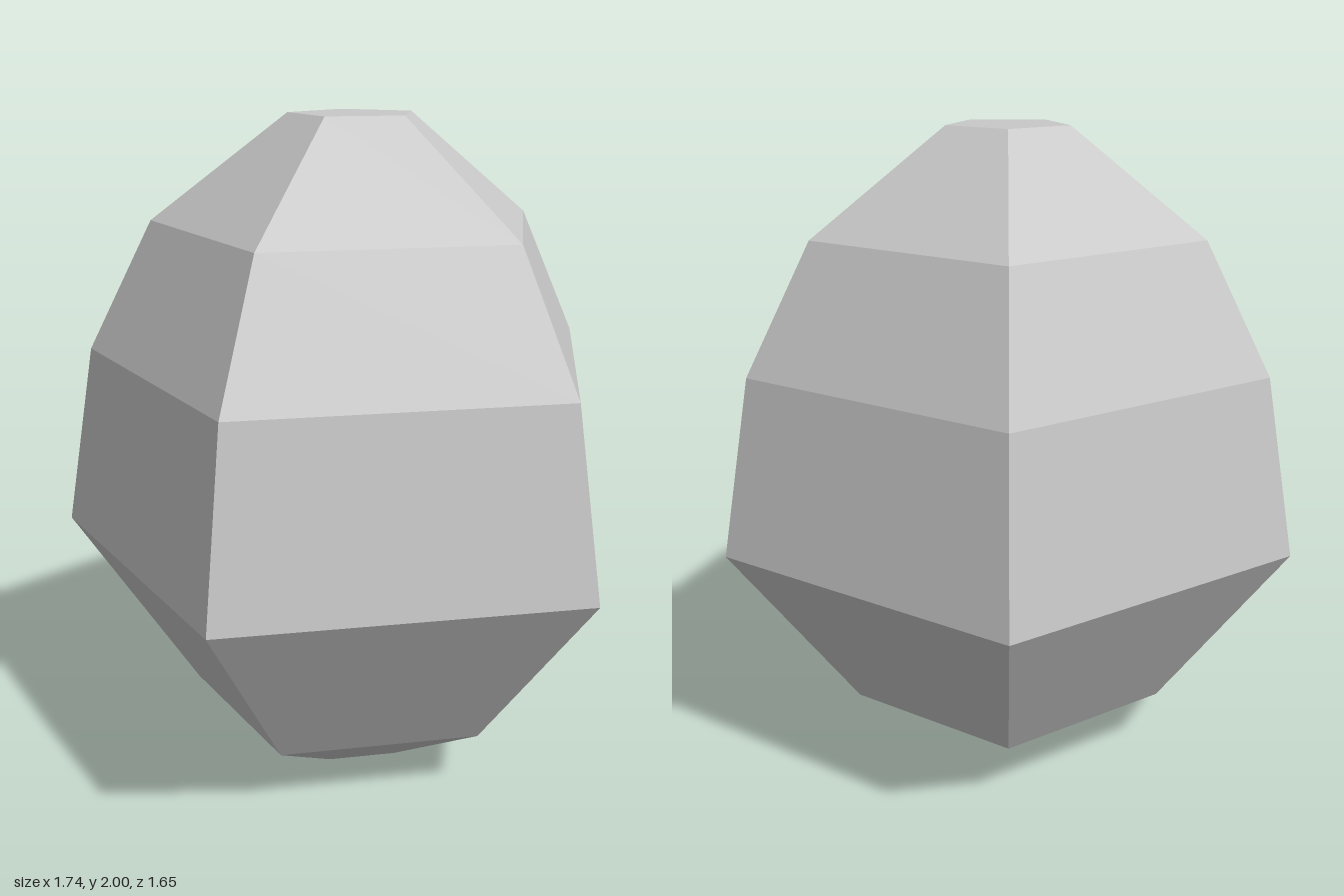
import * as THREE from 'three';

export function createModel() {
  const group = new THREE.Group();
  group.name = 'facetedEgg';

  const stone = new THREE.MeshStandardMaterial({ color: 0xc8c8c8, flatShading: true });
  stone.name = 'light grey';

  // Profile from bottom to top: [corner radius, height], closed at both ends
  const profile = [
    [0, 0], [0.178, 0], [0.51, 0.183], [0.914, 0.72],
    [0.82, 1.28], [0.615, 1.68], [0.195, 2], [0, 2],
  ].map(([r, y]) => new THREE.Vector2(r, y));

  // Five-sided shell with one corner at the back and a flat side in front
  const shell = new THREE.Mesh(new THREE.LatheGeometry(profile, 5, Math.PI), stone);
  shell.name = 'shell';
  shell.position.z = 0.087; // centres the pentagon's depth
  group.add(shell);

  return group;
}
